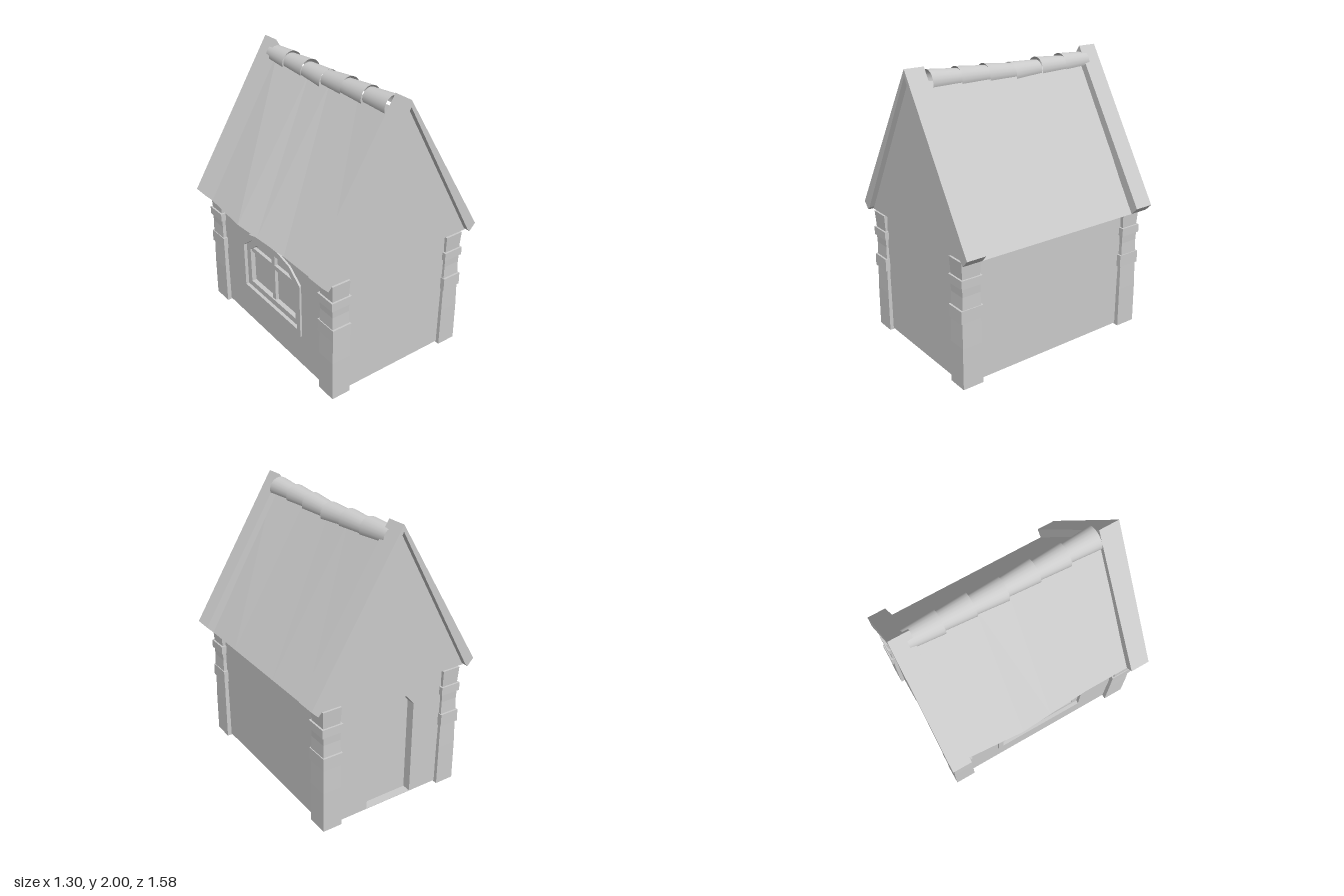
import * as THREE from 'three';
import { mergeVertices } from 'three/addons/utils/BufferGeometryUtils.js';

const mat = new THREE.MeshStandardMaterial({ color: 0xcccccc, side: THREE.DoubleSide });
const V = (pts) => pts.map(([x, y]) => new THREE.Vector2(x, y));

// Arched opening outline with an angular top
const arch = (w, y0, spring, top) => V([
  [-w, y0], [w, y0], [w, spring], [w * 0.68, spring + (top - spring) * 0.72], [w * 0.3, top],
  [-w * 0.3, top], [-w * 0.68, spring + (top - spring) * 0.72], [-w, spring],
]);

function extrude(outline, hole, depth) {
  const s = new THREE.Shape(outline);
  if (hole) s.holes.push(new THREE.Path(hole));
  return new THREE.ExtrudeGeometry(s, { depth, bevelEnabled: false });
}

function flat(outline, hole) {
  const s = new THREE.Shape(outline);
  if (hole) s.holes.push(new THREE.Path(hole));
  return new THREE.ShapeGeometry(s);
}

function add(parent, name, geo, x = 0, y = 0, z = 0) {
  const m = new THREE.Mesh(geo, mat);
  m.name = name;
  m.position.set(x, y, z);
  parent.add(m);
  return m;
}

// Joins closed cross-sections (arrays of [x, y, z]) into a flat-shaded solid
function loft(sections) {
  const n = sections[0].length, pos = sections.flat(2), idx = [];
  for (let s = 0; s < sections.length - 1; s++) {
    for (let i = 0; i < n; i++) {
      const a = s * n + i, b = s * n + (i + 1) % n;
      idx.push(a, b, b + n, a, b + n, a + n);
    }
  }
  const last = (sections.length - 1) * n;
  for (let i = 1; i < n - 1; i++) idx.push(0, i + 1, i, last, last + i, last + i + 1);
  const g = new THREE.BufferGeometry();
  g.setAttribute('position', new THREE.Float32BufferAttribute(pos, 3));
  g.setIndex(idx);
  const out = g.toNonIndexed();
  out.computeVertexNormals();
  return out;
}

// Corner pillar: stacked square rings, [height, half width, half depth]
function pillar() {
  const rings = [
    [0, 0.072, 0.078], [0.3, 0.07, 0.077], [0.48, 0.066, 0.073],
    [0.48, 0.074, 0.086], [0.57, 0.073, 0.085], [0.57, 0.067, 0.071],
    [0.66, 0.064, 0.068], [0.72, 0.066, 0.07], [0.72, 0.077, 0.08],
    [0.78, 0.077, 0.08], [0.78, 0.064, 0.067], [0.9, 0.069, 0.075],
  ];
  return loft(rings.map(([y, w, d]) => [[-w, y, d], [w, y, d], [w, y, -d], [-w, y, -d]]));
}

// Tapered half-round ridge tile running along z, wide end at +z
function ridgeTile(length) {
  const g = new THREE.CylinderGeometry(0.066, 0.082, length, 12, 1, true, -Math.PI * 0.58, Math.PI * 1.16);
  g.rotateX(-Math.PI / 2);
  return mergeVertices(g);
}

export function createModel() {
  const house = new THREE.Group();
  house.name = 'house';
  const WX = 0.52, WZ = 0.74, Y0 = 0.01, EAVE = 0.9;
  const rect = (w) => V([[-w, Y0], [w, Y0], [w, EAVE], [-w, EAVE]]);

  // Walls, with a doorway at the back and a window on the right side
  add(house, 'frontWall', flat(rect(WX)), 0, 0, WZ);
  const doorway = arch(0.185, Y0 + 0.001, 0.72, 0.82);
  add(house, 'backWall', flat(rect(WX), doorway), 0, 0, -WZ).rotation.y = Math.PI;
  add(house, 'leftWall', flat(rect(WZ)), WX).rotation.y = Math.PI / 2;
  const windowHole = arch(0.36, 0.28, 0.66, 0.79);
  add(house, 'rightWall', flat(rect(WZ), windowHole), -WX).rotation.y = -Math.PI / 2;

  // Recessed door with its jamb
  const door = new THREE.Group();
  door.name = 'door';
  door.position.z = -WZ;
  door.rotation.y = Math.PI;
  add(door, 'doorJamb', extrude(arch(0.19, Y0, 0.72, 0.825), arch(0.184, Y0 + 0.002, 0.718, 0.818), 0.064), 0, 0, -0.065);
  add(door, 'doorPanel', flat(doorway), 0, 0, -0.064);
  house.add(door);

  // Window: stepped frames, sash bars and panes
  const win = new THREE.Group();
  win.name = 'window';
  win.position.x = -WX;
  win.rotation.y = -Math.PI / 2;
  add(win, 'outerFrame', extrude(arch(0.375, 0.26, 0.68, 0.81), arch(0.335, 0.305, 0.65, 0.77), 0.08), 0, 0, -0.065);
  add(win, 'innerFrame', extrude(arch(0.336, 0.304, 0.651, 0.771), arch(0.285, 0.35, 0.625, 0.73), 0.05), 0, 0, -0.06);
  add(win, 'panes', flat(arch(0.29, 0.345, 0.63, 0.735)), 0, 0, -0.045);
  add(win, 'mullion', new THREE.BoxGeometry(0.04, 0.38, 0.04), 0, 0.54, -0.04);
  add(win, 'transom', new THREE.BoxGeometry(0.58, 0.035, 0.04), 0, 0.625, -0.04);
  house.add(win);

  // Corner pillars
  for (const sx of [-1, 1]) {
    for (const sz of [-1, 1]) add(house, 'cornerPillar', pillar(), sx * 0.481, 0, sz * 0.69);
  }

  // Roof with a sagging ridge and a bulge along the right eave: [z, ridge y, right eave x]
  const stations = [[-0.74, 1.9, 0.6], [-0.64, 1.9, 0.603], [-0.23, 1.89, 0.632], [0, 1.885, 0.618], [0.3, 1.89, 0.6], [0.74, 1.91, 0.6]];
  add(house, 'roof', loft(stations.map(([z, y, e]) => [[-e, EAVE, z], [0.6, EAVE, z], [0, y, z]])));

  // Gable ends with raised verge boards
  const verge = V([[0, 2], [-0.648, 0.95], [-0.6, 0.9], [-0.58, 0.92], [0, 1.955], [0.58, 0.92], [0.6, 0.9], [0.648, 0.95]]);
  const panel = V([[-0.6, EAVE], [0.6, EAVE], [0, 1.96]]);
  for (const s of [1, -1]) {
    const gable = new THREE.Group();
    gable.name = s > 0 ? 'frontGable' : 'backGable';
    gable.rotation.y = s > 0 ? 0 : Math.PI;
    add(gable, 'vergeBoards', extrude(verge, null, 0.143), 0, 0, 0.645);
    add(gable, 'gablePanel', extrude(panel, null, 0.1), 0, 0, 0.65);
    house.add(gable);
  }

  // Overlapping ridge tiles following the sag
  const ends = [-0.455, -0.24, -0.02, 0.2, 0.415, 0.635];
  const tops = [1.968, 1.964, 1.957, 1.966, 1.973, 1.98];
  ends.forEach((z, i) => {
    const t = add(house, 'ridgeTile', ridgeTile(0.23), (i % 2) * 0.004 + 0.003, tops[i] - 0.08, z - 0.115);
    t.rotation.x = [0.02, 0, 0.03, -0.03, -0.02, -0.02][i];
  });

  return house;
}
